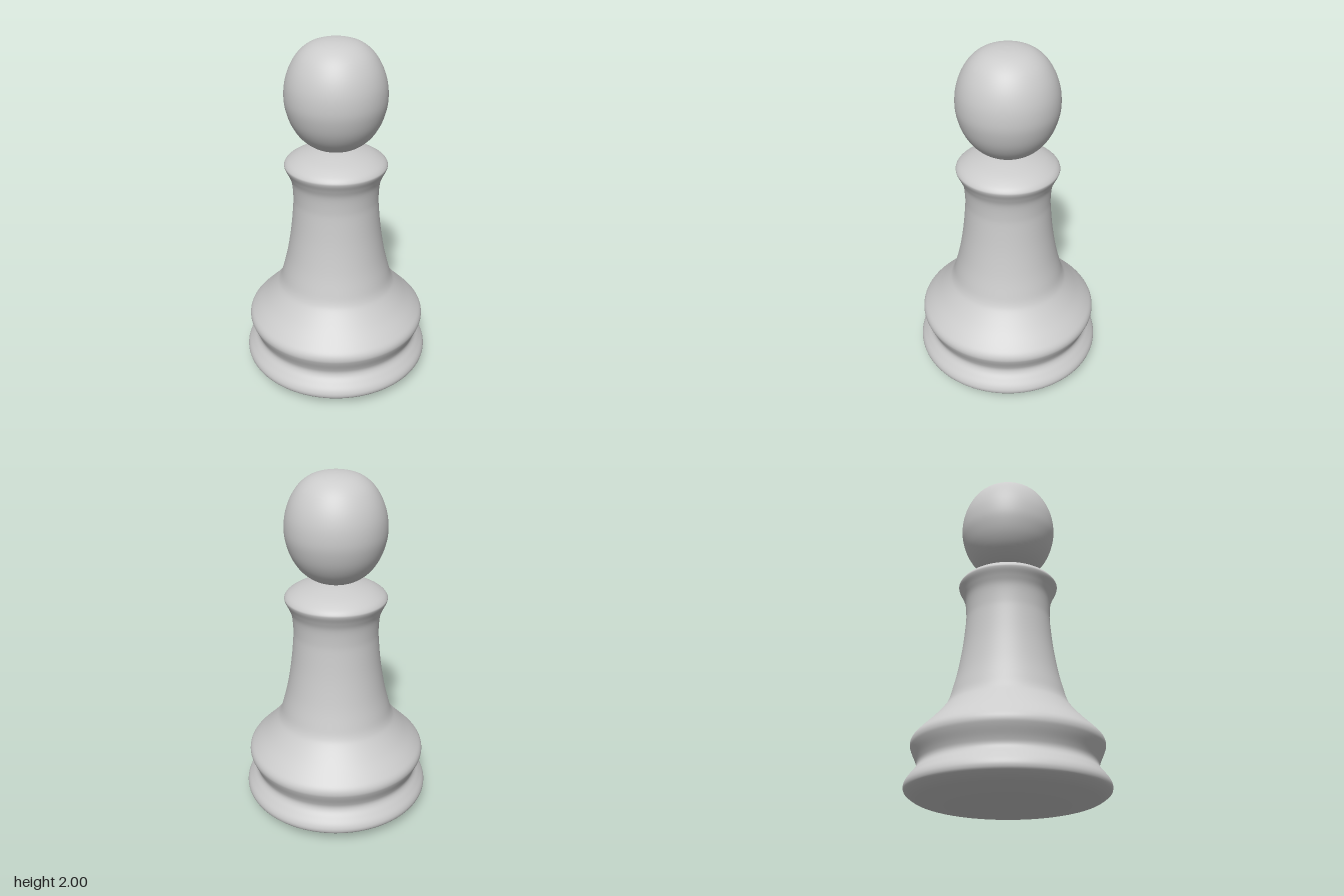
import * as THREE from 'three';

const material = new THREE.MeshStandardMaterial({ color: 0xcccccc });

// Turned solid from a smooth curve through [radius, height] points, bottom to top
function turned(name, points, steps) {
  const curve = new THREE.SplineCurve(points.map(([r, y]) => new THREE.Vector2(r, y)));
  const profile = curve.getPoints(steps);
  profile.forEach((p) => { p.x = Math.max(p.x, 0); p.y = THREE.MathUtils.clamp(p.y, 0, 2); });
  const mesh = new THREE.Mesh(new THREE.LatheGeometry(profile, 96), material);
  mesh.name = name;
  return mesh;
}

export function createModel() {
  const group = new THREE.Group();
  group.name = 'chessPawn';

  // Rounded foot, waist groove, shoulder, tapering stem and flared collar
  group.add(turned('body', [
    [0, 0.003], [0.2, 0.01], [0.38, 0.026], [0.48, 0.045], [0.533, 0.075],
    [0.547, 0.1], [0.54, 0.13], [0.515, 0.165], [0.492, 0.195], [0.485, 0.22],
    [0.493, 0.25], [0.515, 0.3], [0.523, 0.33], [0.515, 0.36], [0.485, 0.395],
    [0.42, 0.46], [0.36, 0.53], [0.332, 0.575], [0.312, 0.64], [0.285, 0.75],
    [0.26, 0.9], [0.245, 1.05], [0.243, 1.12], [0.25, 1.2], [0.268, 1.25],
    [0.287, 1.29], [0.286, 1.31], [0.26, 1.335], [0.2, 1.365], [0.1, 1.391], [0, 1.4],
  ], 150));

  // Egg-shaped head, slightly narrower towards the top
  group.add(turned('head', [
    [0, 1.391], [0.07, 1.398], [0.14, 1.425], [0.2, 1.475], [0.245, 1.545],
    [0.272, 1.625], [0.28, 1.695], [0.272, 1.775], [0.245, 1.855],
    [0.2, 1.925], [0.14, 1.972], [0.07, 1.994], [0, 2],
  ], 60));

  return group;
}
